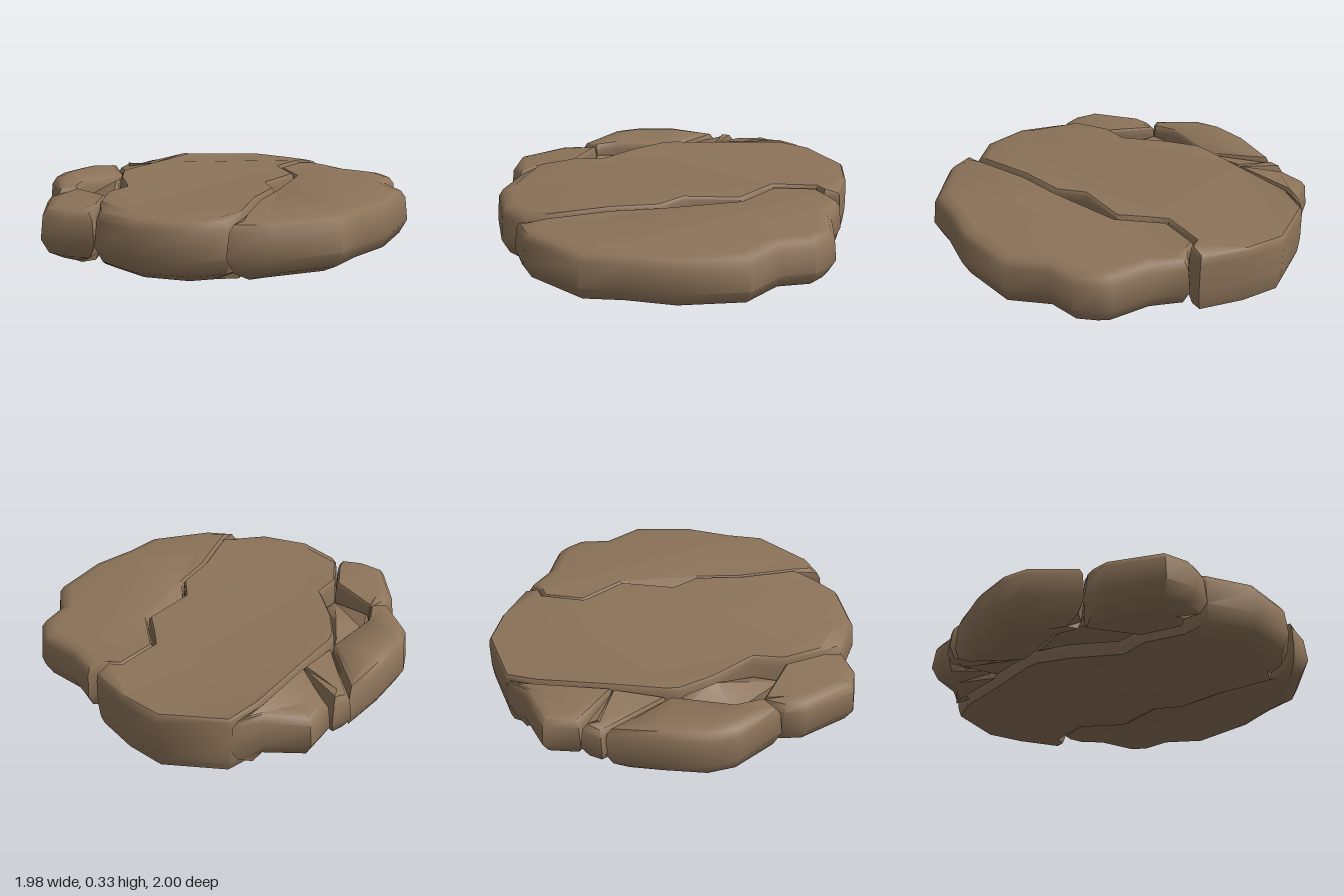
import * as THREE from 'three';
import { toCreasedNormals } from 'three/addons/utils/BufferGeometryUtils.js';

const stone = new THREE.MeshStandardMaterial({ color: 0x8c7359 });
stone.name = 'brown stone';

// Moves each corner of a closed outline inwards by its own amount
function inset(points, amounts) {
  const n = points.length;
  return points.map((p, i) => {
    const a = points[(i + n - 1) % n], b = points[(i + 1) % n];
    const l1 = Math.hypot(p[0] - a[0], p[1] - a[1]), l2 = Math.hypot(b[0] - p[0], b[1] - p[1]);
    let nx = -(p[1] - a[1]) / l1 - (b[1] - p[1]) / l2;
    let nz = (p[0] - a[0]) / l1 + (b[0] - p[0]) / l2;
    const l = Math.hypot(nx, nz) || 1;
    return [p[0] + nx / l * amounts[i], p[1] + nz / l * amounts[i]];
  });
}

// Rock piece: outer corners are well rounded, seam corners stay tight.
// Points are [x, z, drop], where drop lowers the top at that corner.
function rock(name, outer, seam, bottom = 0, top = 0.33) {
  let pts = [...outer.map(p => [...p, 1]), ...seam.map(p => [...p, 0.2])]
    .map(p => ({ xz: [p[0], p[1]], drop: p.length > 3 ? p[2] : 0, round: p[p.length - 1] }));
  const area = pts.reduce((s, p, i) => {
    const q = pts[(i + 1) % pts.length];
    return s + p.xz[0] * q.xz[1] - p.xz[1] * q.xz[0];
  }, 0);
  if (area < 0) pts.reverse();

  const n = pts.length, positions = [], index = [];
  const outline = pts.map(p => p.xz), h = top - bottom;
  // [height fraction, inset] of each cross-section
  const rings = [[0, 0.12], [0.14, 0.04], [0.4, 0], [0.84, 0.015], [0.96, 0.04], [1, 0.09]];
  const loops = rings.map(([f, d]) => inset(outline, pts.map(p => d * p.round)));
  loops.forEach((loop, r) => loop.forEach(([x, z], i) =>
    positions.push(x, bottom + rings[r][0] * (h - pts[i].drop), z)));

  for (let r = 0; r < rings.length - 1; r++) {
    for (let i = 0; i < n; i++) {
      const a = r * n + i, b = r * n + (i + 1) % n;
      index.push(a, a + n, b, b, a + n, b + n);
    }
  }
  // Top and bottom caps
  for (const [r, up] of [[0, false], [rings.length - 1, true]]) {
    const loop = loops[r];
    const faces = THREE.ShapeUtils.triangulateShape(loop.map(p => new THREE.Vector2(...p)), []);
    for (const [a, b, c] of faces) {
      const s = (loop[b][0] - loop[a][0]) * (loop[c][1] - loop[a][1])
        - (loop[b][1] - loop[a][1]) * (loop[c][0] - loop[a][0]);
      const o = r * n;
      if ((s < 0) === up) index.push(o + a, o + b, o + c);
      else index.push(o + a, o + c, o + b);
    }
  }
  const geo = new THREE.BufferGeometry();
  geo.setAttribute('position', new THREE.Float32BufferAttribute(positions, 3));
  geo.setIndex(index);
  const mesh = new THREE.Mesh(toCreasedNormals(geo, 0.8), stone);
  mesh.name = name;
  return mesh;
}

export function createModel() {
  const group = new THREE.Group();
  group.name = 'crackedRockSlab';

  // Crack between the middle and right pieces, back to front
  const rightCrack = [[0.2, -0.79], [0.14, -0.76], [0.11, -0.53], [0.18, -0.45], [0.29, -0.33],
    [0.26, -0.03], [0.36, 0.1], [0.38, 0.36], [0.46, 0.68]];
  // Crack along the left of the middle piece, front to back
  const leftCrack = [[-0.3, 0.78], [-0.39, 0.58], [-0.38, 0.42], [-0.55, 0.22], [-0.65, 0.05],
    [-0.66, -0.02], [-0.64, -0.29], [-0.62, -0.68]];

  group.add(rock('middleSlab',
    [[0.45, 0.8], [0.3, 0.94], [0.01, 0.995], [-0.25, 0.9]].map(p => [...p, 0.02]),
    leftCrack));
  // Replace the open back edge with the full middle outline
  group.clear();
  const middleOutline = [
    ...[[0.45, 0.8], [0.3, 0.94], [0.01, 0.995], [-0.25, 0.9]].map(p => [...p, 0.02]),
  ];
  const backEdge = [[-0.56, -0.85, 0.02], [-0.25, -1, 0.02], [-0.03, -0.97, 0.02], [0.21, -0.88, 0.02]];
  group.add(rock('middleSlab', middleOutline,
    [...leftCrack, ...backEdge, ...rightCrack].map(p => [p[0], p[1], p[2] || 0])));

  // Right piece, with a shallow valley at the crack
  group.add(rock('rightSlab',
    [[0.45, 0.85], [0.64, 0.79], [0.89, 0.51], [0.92, 0.3], [0.985, 0.05], [0.97, -0.3], [0.82, -0.47],
      [0.8, -0.64], [0.72, -0.73], [0.66, -0.77], [0.44, -0.8], [0.27, -0.88]].map(p => [...p, 0.02]),
    rightCrack.map((p, i) => [...p, i === 5 ? 0.08 : 0.01]), 0.025));

  // Smaller broken pieces on the left
  group.add(rock('backLeftRock',
    [[-0.56, -0.85, 0.02], [-0.68, -0.74, 0.02], [-0.87, -0.62, 0.04], [-0.875, -0.43, 0.04]],
    [[-0.64, -0.29, 0.01], [-0.62, -0.68, 0]], 0.03));
  group.add(rock('leftWedge',
    [[-0.885, -0.43, 0.03], [-0.935, -0.32, 0.05]],
    [[-0.66, -0.02, 0.04], [-0.64, -0.29, 0.01]], 0.04));
  group.add(rock('leftRock',
    [[-0.73, 0.56, 0.02], [-0.94, 0.35, 0], [-0.99, 0.2, 0], [-0.98, -0.03, 0], [-0.91, -0.31, 0.03]],
    [[-0.66, 0, 0.03], [-0.67, 0.1, 0.03], [-0.71, 0.32, 0.02], [-0.66, 0.46, 0.02]], 0.015));
  group.add(rock('frontLeftRock',
    [[-0.25, 0.9, 0.03], [-0.39, 0.96, 0.03], [-0.55, 0.935, 0.03], [-0.72, 0.68, 0.03], [-0.73, 0.56, 0.03]],
    [[-0.66, 0.46, 0.03], [-0.39, 0.58, 0.02], [-0.3, 0.78, 0.02]], 0.02));
  // Sunken chip between the left pieces
  group.add(rock('innerChip', [],
    [[-0.65, 0.05, 0.02], [-0.55, 0.22, 0], [-0.38, 0.42, 0.1], [-0.39, 0.58, 0.12],
      [-0.66, 0.46, 0.06], [-0.71, 0.32, 0.08], [-0.67, 0.1, 0.05]], 0.05, 0.31));
  return group;
}
